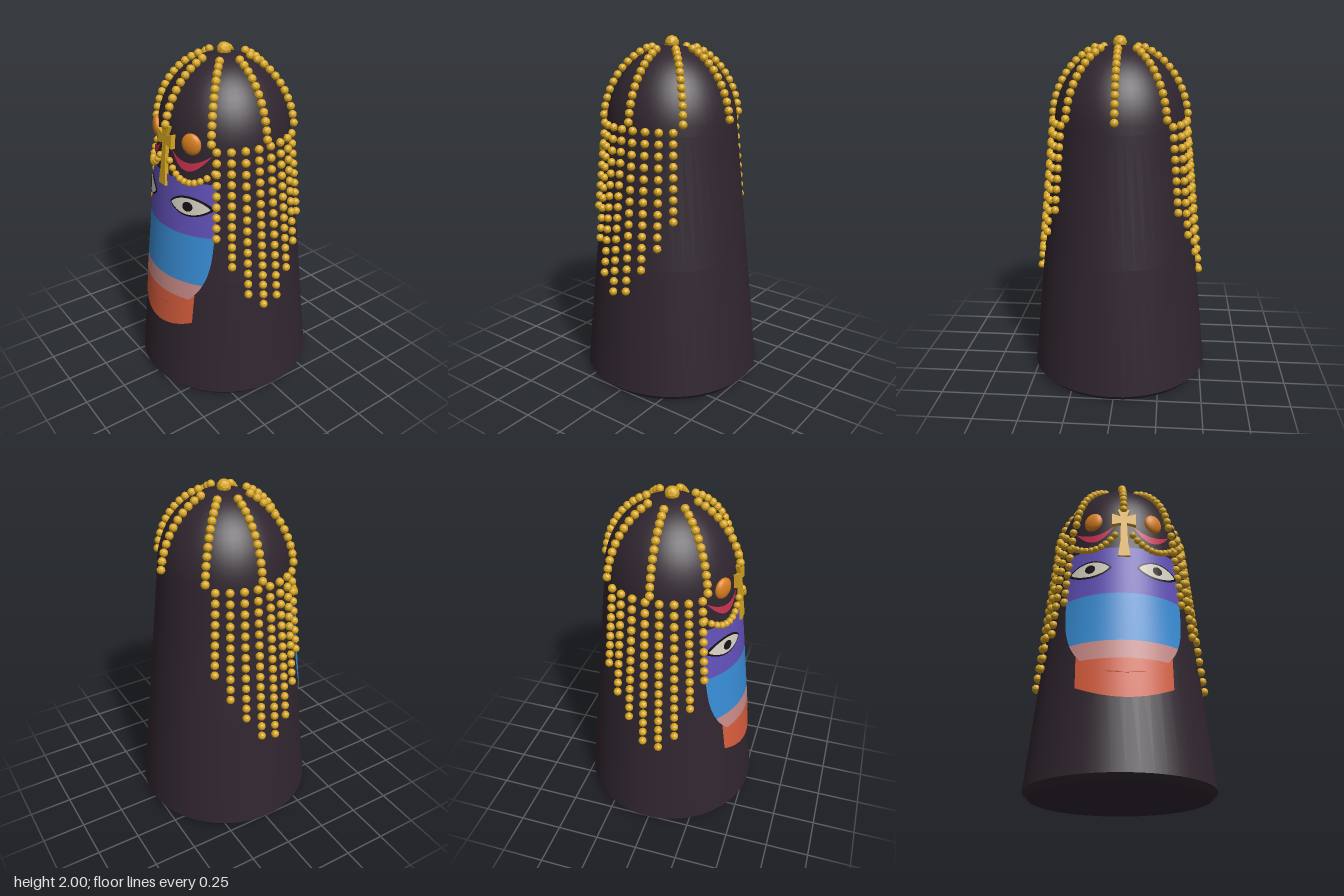
import * as THREE from 'three';
import { mergeGeometries, toCreasedNormals } from 'three/addons/utils/BufferGeometryUtils.js';

const paint = (name, color, flatShading = false) => {
  const m = new THREE.MeshStandardMaterial({ color, flatShading });
  m.name = name;
  return m;
};

const DOME_Y = 1.5, DOME_R = 0.376, DOME_H = 0.45;
// body radius at a given height of the tapered wall
const wallRadius = y => 0.527 - 0.1027 * (y - 0.03);

export function createModel() {
  const mats = {
    cloth: paint('dark cloth', 0x30252f),
    gold: paint('gold', 0xd6a51f, true),
    violet: paint('violet', 0x6150b8),
    blue: paint('blue', 0x388cd4),
    pink: paint('pink', 0xc98b88),
    coral: paint('coral', 0xd65c3c),
    crimson: paint('crimson', 0xc8304f),
    amber: paint('amber', 0xdb8020),
    ivory: paint('ivory', 0xd8d2c4),
    black: paint('black', 0x151015),
  };
  const model = new THREE.Group();
  const add = (name, geometry, material) => {
    const mesh = new THREE.Mesh(geometry, material);
    mesh.name = name;
    model.add(mesh);
    return mesh;
  };

  // thin skin laid on the wall: f(u, v) gives [x, y], lifted by off
  const patch = (name, material, off, f, nu = 24, nv = 8) => {
    const pos = [], index = [];
    for (let j = 0; j <= nv; j++) {
      for (let i = 0; i <= nu; i++) {
        const [x, y] = f(i / nu, j / nv);
        const r = wallRadius(y) + off;
        pos.push(x, y, Math.sqrt(r * r - x * x));
        if (i < nu && j < nv) {
          const a = j * (nu + 1) + i, c = a + nu + 1;
          index.push(a, a + 1, c + 1, a, c + 1, c);
        }
      }
    }
    const g = new THREE.BufferGeometry();
    g.setAttribute('position', new THREE.Float32BufferAttribute(pos, 3));
    g.setIndex(index);
    g.computeVertexNormals();
    return add(name, g, material);
  };

  // body: bevelled foot, tapered wall, domed top
  const profile = [[0, 0], [0.5, 0], [0.527, 0.03], [0.452, 0.765]].map(p => new THREE.Vector2(...p));
  for (let i = 0; i <= 14; i++) {
    const a = i / 14 * Math.PI / 2;
    profile.push(new THREE.Vector2(i === 14 ? 0 : DOME_R * Math.cos(a), DOME_Y + DOME_H * Math.sin(a)));
  }
  add('body', toCreasedNormals(new THREE.LatheGeometry(profile, 48), 0.5), mats.cloth);

  // face bands, rounded toward the chin
  const faceWidth = y => y > 0.95
    ? 0.32 - 0.02 * Math.max(0, (y - 1.03) / 0.32) ** 2
    : 0.32 * Math.max(0, 1 - ((0.95 - y) / 0.4) ** 2.5) ** 0.4;
  const band = (name, material, y0, y1) => patch(name, material, 0.008, (u, v) => {
    const y = y0 + (y1 - y0) * v;
    return [(2 * u - 1) * faceWidth(y), y];
  }, 24, 12);
  band('forehead', mats.violet, 1.035, 1.345);
  band('cheeks', mats.blue, 0.74, 1.035);
  band('mouthBand', mats.pink, 0.635, 0.74);
  band('chin', mats.coral, 0.55, 0.635);
  patch('beard', mats.coral, 0.004, (u, v) => {
    const s = 2 * u - 1, low = 0.415 + 0.07 * s * s;
    return [0.257 * s, low + (0.665 - low) * v];
  });

  for (const side of [-1, 1]) {
    const tag = side > 0 ? 'left' : 'right';
    // eye: black almond, ivory almond, pupil
    const lens = (name, material, off, w, h, power) => patch(name, material, off, (u, v) => {
      const s = -Math.cos(Math.PI * u);
      return [side * 0.19 + w * s, 1.205 + h * (2 * v - 1) * Math.max(0, 1 - s * s) ** power];
    }, 24, 4);
    lens(tag + 'EyeOutline', mats.black, 0.011, 0.12, 0.058, 0.8);
    lens(tag + 'EyeWhite', mats.ivory, 0.014, 0.106, 0.047, 0.8);
    lens(tag + 'Pupil', mats.black, 0.017, 0.028, 0.028, 0.5);

    // crescent below the brow jewel
    patch(tag + 'Crescent', mats.crimson, 0.008, (u, v) => {
      const s = 2 * u - 1, low = 1.4 + 0.1 * s * s, high = 1.447 + 0.053 * s * s;
      return [side * 0.165 + 0.11 * s, low + (high - low) * v];
    }, 20, 3);

    // oval brow jewel
    const jewel = add(tag + 'BrowJewel', new THREE.SphereGeometry(1, 20, 14), mats.amber);
    jewel.scale.set(0.057, 0.06, 0.026);
    jewel.position.set(side * 0.175, 1.55, 0.332);
    jewel.rotation.y = side * 0.5;
  }

  // flared cross on the brow
  const half = [[0.035, 0], [0.022, 0.1], [0.018, 0.235], [0.07, 0.222], [0.07, 0.302],
    [0.02, 0.285], [0.036, 0.335]];
  const outline = [...half, ...half.slice().reverse().map(([x, y]) => [-x, y])];
  const cross = add('cross', new THREE.ExtrudeGeometry(
    new THREE.Shape(outline.map(p => new THREE.Vector2(...p))),
    { depth: 0.028, bevelEnabled: false }), mats.gold);
  cross.position.set(0, 1.277, 0.391);
  cross.rotation.x = -0.1;

  // strings of beads, each string merged into one mesh
  const beads = (name, points, radius = 0.024) => add(name, mergeGeometries(points.map(p =>
    new THREE.IcosahedronGeometry(radius, 1).translate(...p))), mats.gold);
  beads('crownBead', [[0, 1.962, 0]], 0.04);

  // eight ribs running down the dome
  for (let k = 0; k < 8; k++) {
    const a = k * Math.PI / 4, pts = [];
    const count = k === 0 ? 10 : 11;
    for (let i = 0; i < count; i++) {
      const t = THREE.MathUtils.degToRad(69 - 6.05 * i);
      const r = 0.394 * Math.cos(t);
      pts.push([r * Math.sin(a), DOME_Y + 0.464 * Math.sin(t), r * Math.cos(a)]);
    }
    beads('domeRib' + (k + 1), pts);
  }

  // hanging curtains at the sides and festoons on the brow
  const ends = [1.04, 0.87, 0.69, 0.605, 0.63, 0.77, 0.9, 1.05];
  for (const side of [-1, 1]) {
    const tag = side > 0 ? 'left' : 'right';
    ends.forEach((end, k) => {
      const a = THREE.MathUtils.degToRad(41 - 11.2 * k), pts = [];
      const n = Math.round((1.525 - end) / 0.062);
      for (let i = 0; i <= n; i++) {
        const y = 1.525 + (end - 1.525) * i / n, r = wallRadius(y) + 0.014;
        pts.push([side * r * Math.cos(a), y, r * Math.sin(a)]);
      }
      beads(tag + 'CurtainString' + (k + 1), pts);
    });
    const swag = [];
    for (let i = 0; i < 10; i++) {
      const t = i / 9, x = 0.05 + 0.245 * t;
      const y = 1.43 - 0.02 * t - 0.32 * t * (1 - t), r = wallRadius(y) + 0.014;
      swag.push([side * x, y, Math.sqrt(r * r - x * x)]);
    }
    beads(tag + 'Festoon', swag, 0.02);
  }
  return model;
}
